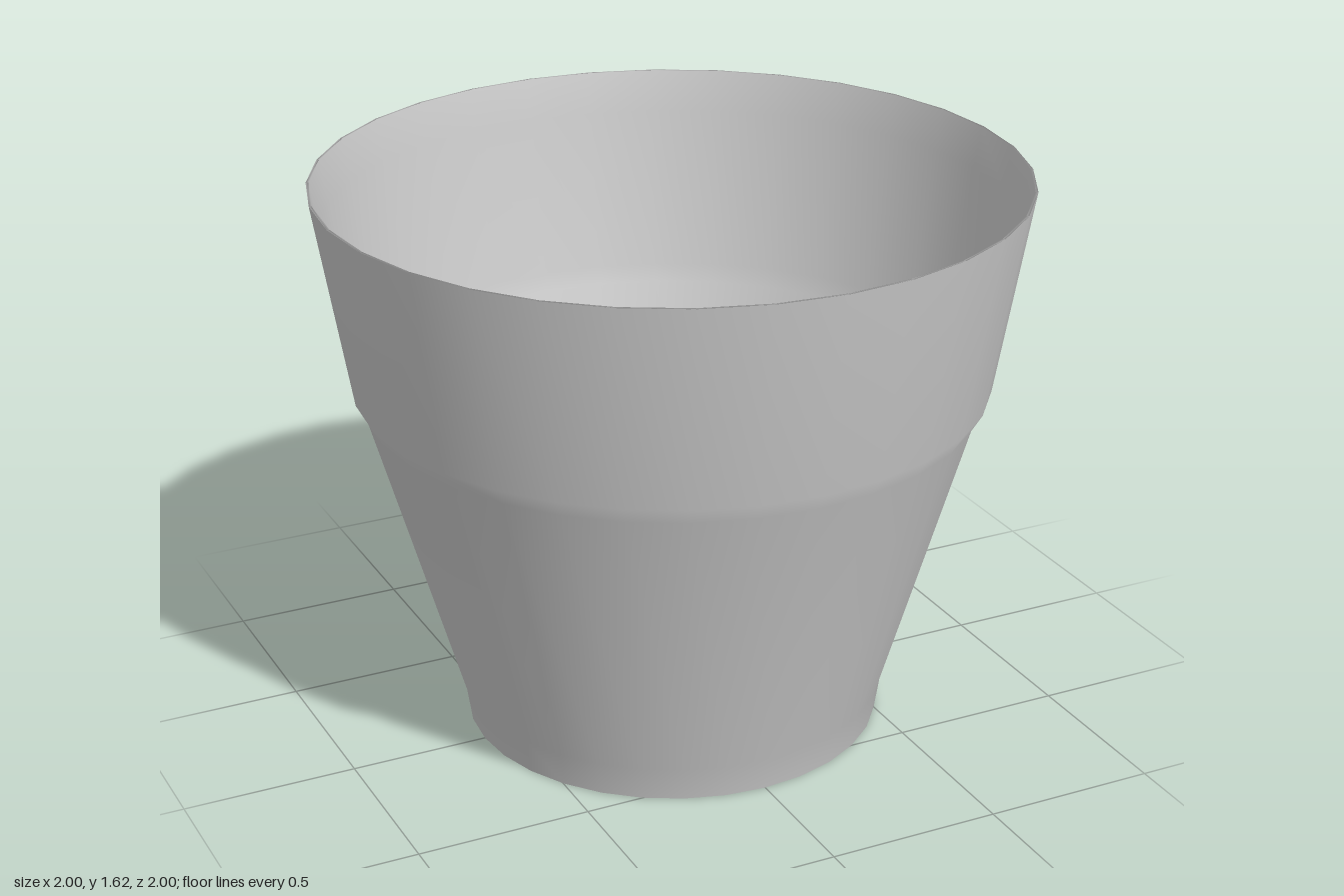
import * as THREE from 'three';

const SIDES = 32;

// Thin tapered cup wall, from the underside up the outside and back down the inside
const PROFILE = [
  [0, 0], [0.595, 0], [0.6, 0],                             // underside
  [0.615, 0.1], [0.87, 0.98], [0.9, 1.03], [1, 1.62],       // outer wall
  [0.992, 1.62],                                            // rim
  [0.972, 1.5], [0.892, 1.03], [0.862, 0.98], [0.607, 0.1], // inner wall
  [0.592, 0.012], [0.587, 0.01], [0, 0.01],                 // inner floor
];

export function createModel() {
  const group = new THREE.Group();
  group.name = 'cup';

  const points = PROFILE.map(([r, y]) => new THREE.Vector2(r, y));
  const shell = new THREE.Mesh(
    new THREE.LatheGeometry(points, SIDES),
    new THREE.MeshStandardMaterial({ color: 0xcccccc }),
  );
  shell.name = 'cupShell';
  group.add(shell);

  return group;
}
